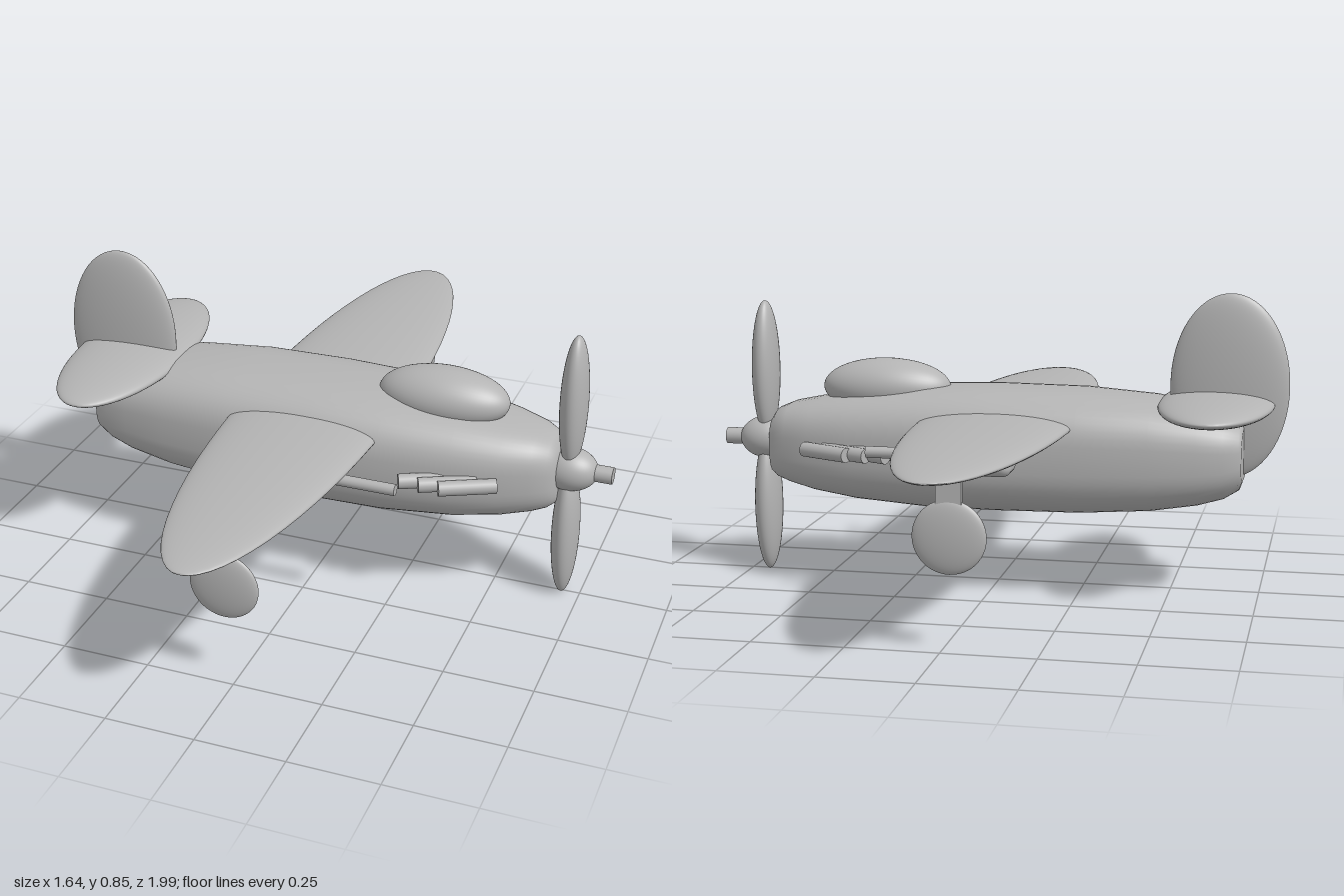
import * as THREE from 'three';
import { RoundedBoxGeometry } from 'three/addons/geometries/RoundedBoxGeometry.js';

const grey = new THREE.MeshStandardMaterial({ color: 0xb4b4b4 });
grey.name = 'plain grey';

function add(parent, name, geometry, x, y, z) {
  const mesh = new THREE.Mesh(geometry, grey);
  mesh.name = name;
  mesh.position.set(x, y, z);
  parent.add(mesh);
  return mesh;
}

// Ellipsoid with half sizes rx, ry, rz; the poles lie on the given axis
function ellipsoid(rx, ry, rz, poles = 'y') {
  const g = new THREE.SphereGeometry(1, 48, 32);
  if (poles === 'z') g.rotateX(Math.PI / 2);
  if (poles === 'x') g.rotateZ(Math.PI / 2);
  return g.scale(rx, ry, rz);
}

// Cylinder lying along x
const rod = (radius, length) =>
  new THREE.CylinderGeometry(radius, radius, length, 24).rotateZ(Math.PI / 2);

// Fuselage lofted through rounded-square sections: x, half width, bottom, top
function fuselageGeometry() {
  const stations = [
    [-0.70, 0.12, 0.325, 0.475], [-0.692, 0.138, 0.302, 0.497],
    [-0.65, 0.155, 0.276, 0.512], [-0.58, 0.175, 0.256, 0.53],
    [-0.45, 0.198, 0.236, 0.554], [-0.25, 0.216, 0.223, 0.569],
    [0, 0.218, 0.22, 0.572], [0.2, 0.214, 0.223, 0.566],
    [0.4, 0.188, 0.236, 0.545], [0.53, 0.155, 0.254, 0.523],
    [0.61, 0.122, 0.272, 0.507], [0.65, 0.098, 0.285, 0.49],
    [0.668, 0.075, 0.297, 0.465], [0.673, 0.055, 0.305, 0.445],
  ];
  const sides = 48, positions = [], index = [];
  const power = (v) => Math.sign(v) * Math.abs(v) ** (2 / 2.8);
  const ring = ([x, w, low, high]) => {
    const start = positions.length / 3;
    for (let j = 0; j < sides; j++) {
      const a = (j / sides) * Math.PI * 2;
      positions.push(x, (low + high) / 2 + power(Math.sin(a)) * (high - low) / 2, power(Math.cos(a)) * w);
    }
    return start;
  };
  const starts = stations.map(ring);
  for (let i = 0; i < starts.length - 1; i++) {
    for (let j = 0; j < sides; j++) {
      const k = (j + 1) % sides, a = starts[i], b = starts[i + 1];
      index.push(a + j, b + j, b + k, a + j, b + k, a + k);
    }
  }
  // Flat caps with their own vertices keep the end edges sharp
  for (const [s, front] of [[stations[0], false], [stations.at(-1), true]]) {
    const start = ring(s), centre = positions.length / 3;
    positions.push(s[0], (s[2] + s[3]) / 2, 0);
    for (let j = 0; j < sides; j++) {
      const a = start + j, b = start + (j + 1) % sides;
      index.push(centre, front ? b : a, front ? a : b);
    }
  }
  const g = new THREE.BufferGeometry();
  g.setAttribute('position', new THREE.Float32BufferAttribute(positions, 3));
  g.setIndex(index);
  g.computeVertexNormals();
  return g;
}

export function createModel() {
  const plane = new THREE.Group();
  plane.name = 'propellerPlane';

  // Body and canopy
  add(plane, 'fuselage', fuselageGeometry(), 0, 0, 0);
  add(plane, 'canopy', ellipsoid(0.188, 0.083, 0.098, 'x'), 0.33, 0.558, 0);

  // Flying surfaces
  add(plane, 'wing', ellipsoid(0.222, 0.036, 0.995, 'z'), -0.022, 0.483, 0);
  add(plane, 'tailplane', ellipsoid(0.162, 0.037, 0.387, 'z'), -0.622, 0.538, 0);
  add(plane, 'fin', ellipsoid(0.166, 0.259, 0.036), -0.656, 0.588, 0);

  // Propeller
  const propeller = new THREE.Group();
  propeller.name = 'propeller';
  propeller.position.set(0.697, 0.4, 0);
  plane.add(propeller);
  for (const s of [1, -1]) add(propeller, 'blade', ellipsoid(0.038, 0.2, 0.064), 0, s * 0.2, 0);
  add(propeller, 'spinner', ellipsoid(0.08, 0.062, 0.062, 'x'), 0, -0.003, 0);
  add(propeller, 'shaft', rod(0.024, 0.12), 0.062, -0.003, 0);

  // Parts repeated on both sides
  for (const s of [1, -1]) {
    // Gun pod under the wing
    add(plane, 'gunPod', new RoundedBoxGeometry(0.202, 0.1, 0.107, 4, 0.025), -0.006, 0.428, s * 0.333);
    add(plane, 'gunBarrel', rod(0.016, 0.24), 0.182, 0.427, s * 0.333);

    // Exhaust stubs sloping out and back
    const angle = THREE.MathUtils.degToRad(26), length = 0.16;
    for (let i = 0; i < 3; i++) {
      const stub = add(plane, 'exhaustStub', rod(0.021, length),
        0.275 + i * 0.057 + Math.cos(angle) * length / 2, 0.395,
        s * (0.233 - Math.sin(angle) * length / 2));
      stub.rotation.y = s * angle;
    }

    // Landing gear
    add(plane, 'wheelStrut', new THREE.BoxGeometry(0.066, 0.14, 0.014), -0.023, 0.42, s * 0.737);
    add(plane, 'wheel', ellipsoid(0.096, 0.096, 0.02, 'z'), -0.023, 0.297, s * 0.737);
  }
  return plane;
}
